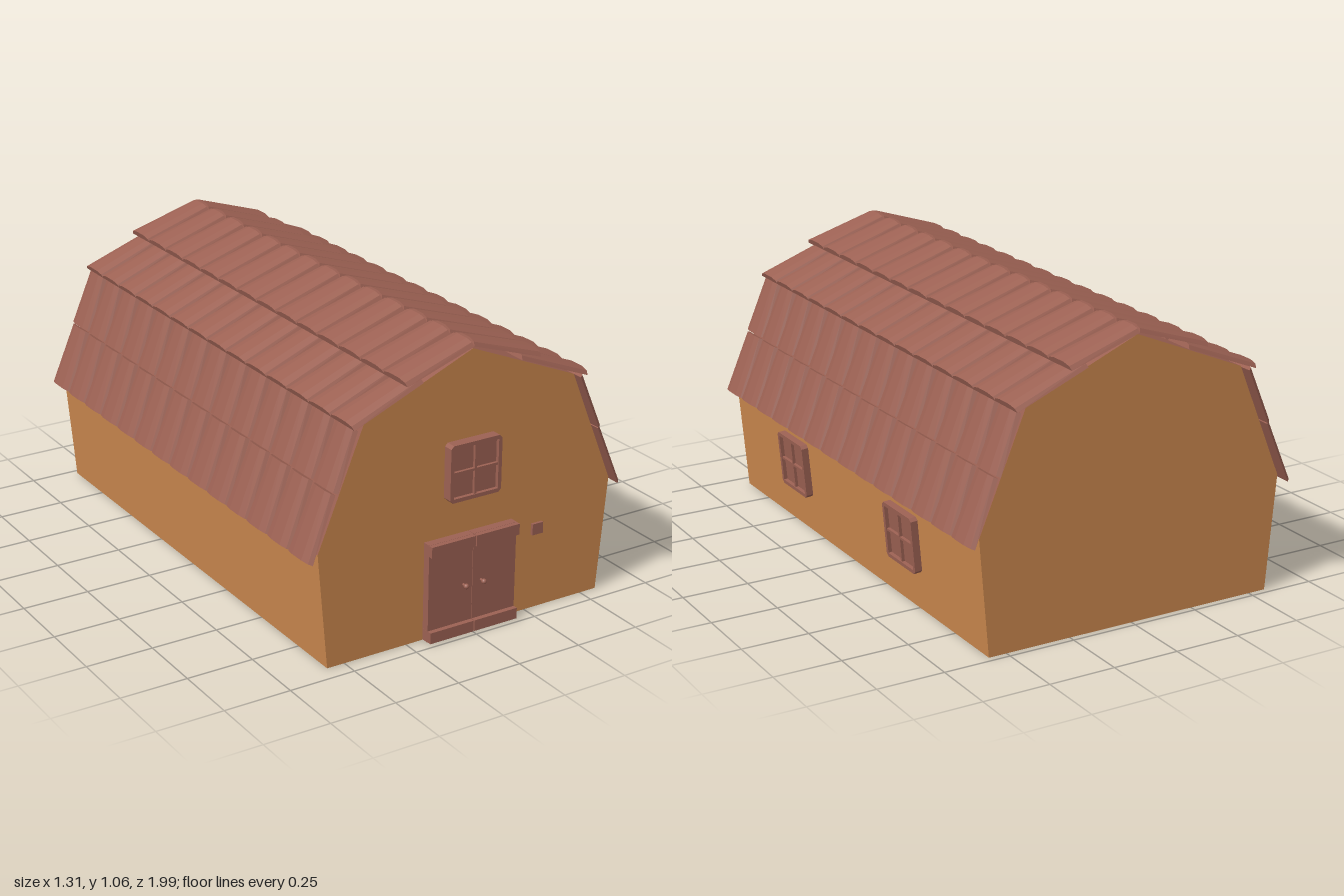
import * as THREE from 'three';
import { mergeGeometries } from 'three/addons/utils/BufferGeometryUtils.js';
import { ConvexGeometry } from 'three/addons/geometries/ConvexGeometry.js';

const FRONT = 0.936, BACK = -0.976;
// right half of the gable outline, from the ground up to the ridge
const PROFILE = [[0.568, 0], [0.605, 0.43], [0.428, 0.857], [0, 1.035]];

const wallPaint = new THREE.MeshStandardMaterial({ color: 0xcb884e, side: THREE.DoubleSide });
wallPaint.name = 'orange wall';
const tileBrown = new THREE.MeshStandardMaterial({ color: 0x9c6153, side: THREE.DoubleSide });
tileBrown.name = 'red brown';

function add(parent, name, geometry, material, x = 0, y = 0, z = 0) {
  const mesh = new THREE.Mesh(geometry, material);
  mesh.name = name;
  mesh.position.set(x, y, z);
  parent.add(mesh);
  return mesh;
}

// flat strip running front to back between two outline points
function strip([ax, ay], [bx, by]) {
  const g = new THREE.BufferGeometry();
  g.setAttribute('position', new THREE.Float32BufferAttribute([
    ax, ay, FRONT, ax, ay, BACK, bx, by, BACK, bx, by, FRONT], 3));
  // corners run so that the right-hand side faces outward
  g.setIndex([0, 1, 2, 0, 2, 3]);
  g.computeVertexNormals();
  return g;
}

function createShell() {
  const shell = new THREE.Group();
  shell.name = 'house';
  const outline = [...PROFILE, ...PROFILE.slice(0, 3).reverse().map(([x, y]) => [-x, y])];
  const gable = new THREE.ShapeGeometry(new THREE.Shape(outline.map(p => new THREE.Vector2(...p))));
  add(shell, 'frontGable', gable, wallPaint, 0, 0, FRONT);
  add(shell, 'backGable', gable, wallPaint, 0, 0, BACK).rotation.y = Math.PI;
  for (let i = 0; i < 6; i++) {
    const isWall = i === 0 || i === 5;
    add(shell, isWall ? 'sideWall' : 'roofPanel', strip(outline[i], outline[i + 1]),
      isWall ? wallPaint : tileBrown);
  }
  return shell;
}

// one course of arched, tapered tiles on the +x slope, from upper point to lower point
function tileCourse([ax, ay], [bx, by], thick) {
  const len = Math.hypot(bx - ax, by - ay);
  const nx = (ay - by) / len, ny = (bx - ax) / len;
  const arch = [[-1, 0], [-0.85, 0.65], [-0.4, 1], [0.4, 1], [0.85, 0.65], [1, 0]];
  const points = [];
  for (const [x, y, half] of [[ax, ay, 0.063], [bx, by, 0.073]]) {
    for (const [u, h] of arch) {
      points.push(new THREE.Vector3(x + nx * h * thick, y + ny * h * thick, u * half));
    }
  }
  const tile = new ConvexGeometry(points);
  const tiles = [];
  for (let i = 0; i < 14; i++) tiles.push(tile.clone().translate(0, 0, 0.9035 - i * 0.139));
  return mergeGeometries(tiles);
}

function createRoofTiles() {
  const roof = new THREE.Group();
  roof.name = 'roofTiles';
  const courses = [
    ['ridgeTiles', [0, 1.043], [0.27, 0.957], 0.022],
    ['upperTiles', [0.2, 0.955], [0.475, 0.848], 0.021],
    ['middleTiles', [0.455, 0.84], [0.537, 0.638], 0.021],
    ['eaveTiles', [0.541, 0.632], [0.634, 0.405], 0.02],
  ];
  for (const [name, a, b, thick] of courses) {
    const g = tileCourse(a, b, thick);
    add(roof, name, g, tileBrown);
    add(roof, name, g, tileBrown).rotation.y = Math.PI;
  }
  roof.position.z = -0.0235;
  return roof;
}

// rectangle with clipped corners
function clippedRect(Path, half, cut) {
  const c = half - cut;
  return new Path([[c, -half], [half, -c], [half, c], [c, half], [-c, half], [-half, c], [-half, -c], [-c, -half]]
    .map(p => new THREE.Vector2(...p)));
}

// window facing +z, its outer face at z = depth
function createWindow(name, depth, back) {
  const win = new THREE.Group();
  win.name = name;
  const frame = clippedRect(THREE.Shape, 0.105, 0.011);
  frame.holes.push(clippedRect(THREE.Path, 0.091, 0.001));
  const frameGeo = new THREE.ExtrudeGeometry(frame, { depth: depth + back, bevelEnabled: false });
  add(win, 'windowFrame', frameGeo, tileBrown, 0, 0, -back);
  add(win, 'windowPane', new THREE.BoxGeometry(0.184, 0.184, 0.008), tileBrown, 0, 0, depth - 0.018);
  add(win, 'uprightBar', new THREE.BoxGeometry(0.009, 0.184, 0.012), tileBrown, 0, 0, depth - 0.009);
  add(win, 'crossBar', new THREE.BoxGeometry(0.184, 0.009, 0.012), tileBrown, 0, 0, depth - 0.009);
  return win;
}

function createDoor() {
  const door = new THREE.Group();
  door.name = 'doubleDoor';
  for (const s of [-1, 1]) {
    add(door, 'doorLeaf', new THREE.BoxGeometry(0.181, 0.368, 0.045), tileBrown, s * 0.0915, 0.186, 0.944);
    for (const y of [0.025, 0.349]) {
      add(door, 'doorBoard', new THREE.BoxGeometry(0.18, 0.041, 0.05), tileBrown, s * 0.0925, y, 0.96);
    }
    const knob = new THREE.SphereGeometry(0.01, 10, 8);
    add(door, 'doorKnob', knob, tileBrown, s * 0.037, 0.187, 0.985);
    const stem = new THREE.CylinderGeometry(0.005, 0.005, 0.03, 8).rotateX(Math.PI / 2);
    add(door, 'knobStem', stem, tileBrown, s * 0.037, 0.187, 0.972);
  }
  return door;
}

export function createModel() {
  const model = new THREE.Group();
  model.name = 'barn';
  model.add(createShell(), createRoofTiles(), createDoor());

  const loft = createWindow('loftWindow', 0.038, 0.03);
  loft.position.set(0, 0.612, FRONT);
  model.add(loft);

  // side windows follow the outward lean of the wall
  for (const z of [0.42, -0.437]) {
    const side = createWindow('sideWindow', 0.027, 0.01);
    side.position.set(0.59, 0.253, z);
    side.rotation.set(0.086, Math.PI / 2, 0, 'YXZ');
    model.add(side);
  }

  // small plate beside the door
  add(model, 'wallPlate', new THREE.BoxGeometry(0.045, 0.042, 0.012), tileBrown, 0.291, 0.309, FRONT + 0.005);
  return model;
}
